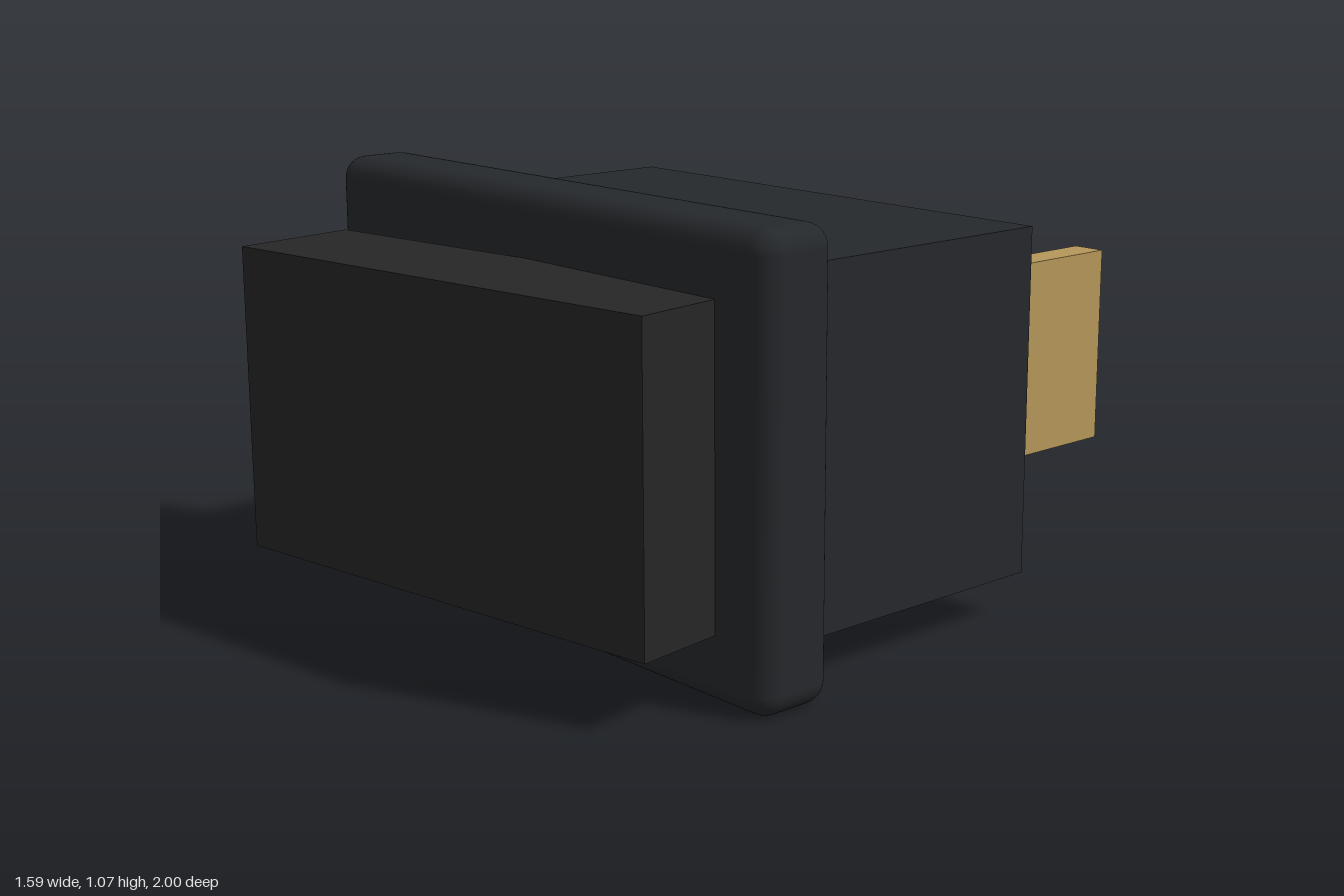
import * as THREE from 'three';
import { RoundedBoxGeometry } from 'three/addons/geometries/RoundedBoxGeometry.js';

export function createModel() {
  const group = new THREE.Group();
  const housing = new THREE.MeshStandardMaterial({ color: 0x25282b });
  const rockerMat = new THREE.MeshStandardMaterial({ color: 0x262626 });
  const brass = new THREE.MeshStandardMaterial({ color: 0xb5975a });
  const midY = 0.535;

  const add = (name, geometry, material, x, y, z) => {
    const mesh = new THREE.Mesh(geometry, material);
    mesh.name = name;
    mesh.position.set(x, y, z);
    group.add(mesh);
    return mesh;
  };

  // Housing that sits behind the panel
  add('body', new THREE.BoxGeometry(1.38, 0.85, 0.78), housing, 0, midY, 0.03);

  // Rounded flange
  add('bezel', new RoundedBoxGeometry(1.59, 1.065, 0.21, 5, 0.055), housing, 0, 0.5325, 0.49);

  // Tilted rocker, its left end pressed in
  const rocker = add('rocker', new THREE.BoxGeometry(1.272, 0.74, 0.318), rockerMat, 0.02, midY, 0.75);
  rocker.rotation.y = 0.139;

  // Flat contact blades at the back
  for (const [name, side] of [['leftTerminal', 1], ['rightTerminal', -1]]) {
    add(name, new THREE.BoxGeometry(0.088, 0.51, 0.66), brass, side * 0.351, midY, -0.67);
  }

  return group;
}
